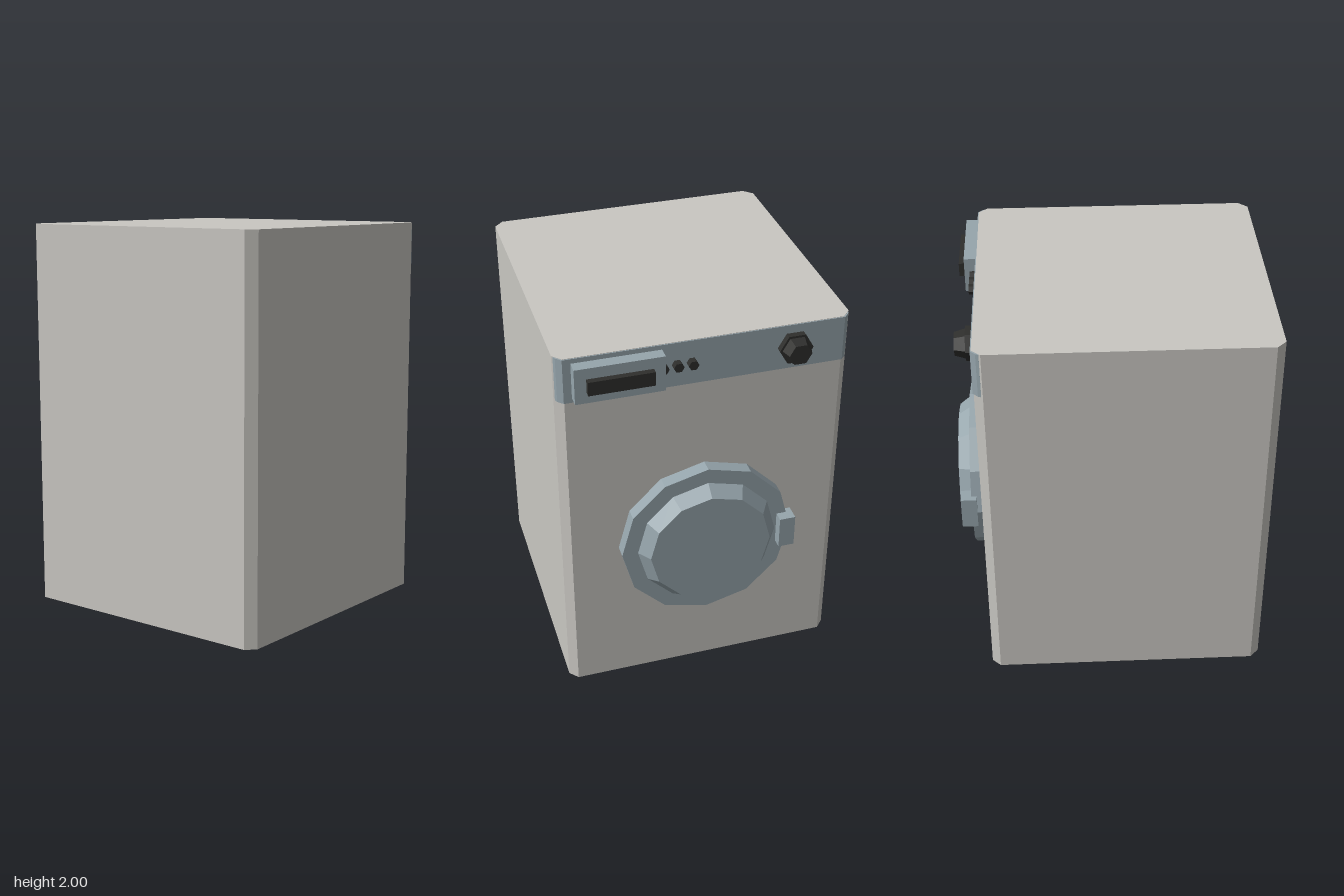
import * as THREE from 'three';

const material = (name, color) => {
  const m = new THREE.MeshStandardMaterial({ color, flatShading: true });
  m.name = name;
  return m;
};

export function createModel() {
  const white = material('warm white enamel', 0xc9c7c2);
  const blue = material('blue grey plastic', 0x96a5ac);
  const dark = material('dark plastic', 0x2e2e2c);

  const group = new THREE.Group();
  group.name = 'washingMachine';

  const add = (name, geometry, mat, x = 0, y = 0, z = 0) => {
    const mesh = new THREE.Mesh(geometry, mat);
    mesh.name = name;
    mesh.position.set(x, y, z);
    group.add(mesh);
  };

  // Prism from a mirrored half outline of [x, z] points, rising from y0 to y1
  const prism = (half, y0, y1) => {
    const outline = [...half, ...half.map(([x, z]) => [-x, z]).reverse()];
    const shape = new THREE.Shape(outline.map(([x, z]) => new THREE.Vector2(x, -z)));
    return new THREE.ExtrudeGeometry(shape, { depth: y1 - y0, bevelEnabled: false })
      .rotateX(-Math.PI / 2).translate(0, y0, 0);
  };

  // Faceted disc pointing towards -z, from z0 out to z1
  const disc = (name, mat, x, y, z0, z1, r0, r1, sides, turn = 0) => {
    const g = new THREE.CylinderGeometry(r1, r0, z0 - z1, sides, 1, false, turn).rotateX(-Math.PI / 2);
    add(name, g, mat, x, y, (z0 + z1) / 2);
  };

  // Cabinet with chamfered upright edges
  add('cabinet', prism([[0.66, 0.77], [0.705, 0.725], [0.705, -0.597], [0.665, -0.64]], 0.055, 2), white);

  // Control panel wrapping the chamfers
  add('controlPanel', prism([[0.7, -0.605], [0.693, -0.62], [0.668, -0.645]], 1.77, 1.998), blue);
  add('displayHousing', new THREE.BoxGeometry(0.42, 0.18, 0.065), blue, 0.42, 1.885, -0.6725);
  add('display', new THREE.BoxGeometry(0.31, 0.07, 0.04), dark, 0.42, 1.885, -0.715);

  for (const x of [0.07, 0.14, 0.21]) {
    disc('button', dark, x, 1.885, -0.64, -0.68, 0.025, 0.025, 6, Math.PI / 2);
  }

  // Dial: flange and tapered grip
  disc('dialFlange', dark, -0.425, 1.885, -0.64, -0.677, 0.082, 0.082, 6, Math.PI / 2);
  disc('dialGrip', dark, -0.425, 1.885, -0.677, -0.73, 0.07, 0.055, 6, Math.PI / 2);

  // Round door
  disc('doorRing', blue, 0, 0.877, -0.635, -0.708, 0.432, 0.432, 12);
  disc('doorDome', blue, 0, 0.877, -0.705, -0.772, 0.355, 0.305, 12);
  add('doorHandle', new THREE.BoxGeometry(0.08, 0.17, 0.08), blue, -0.4, 0.877, -0.72);

  // Feet
  for (const x of [-0.52, 0.52]) {
    for (const z of [0.585, -0.45]) {
      add('foot', new THREE.CylinderGeometry(0.04, 0.04, 0.06, 6, 1, false, Math.PI / 2), dark, x, 0.03, z);
    }
  }

  return group;
}
